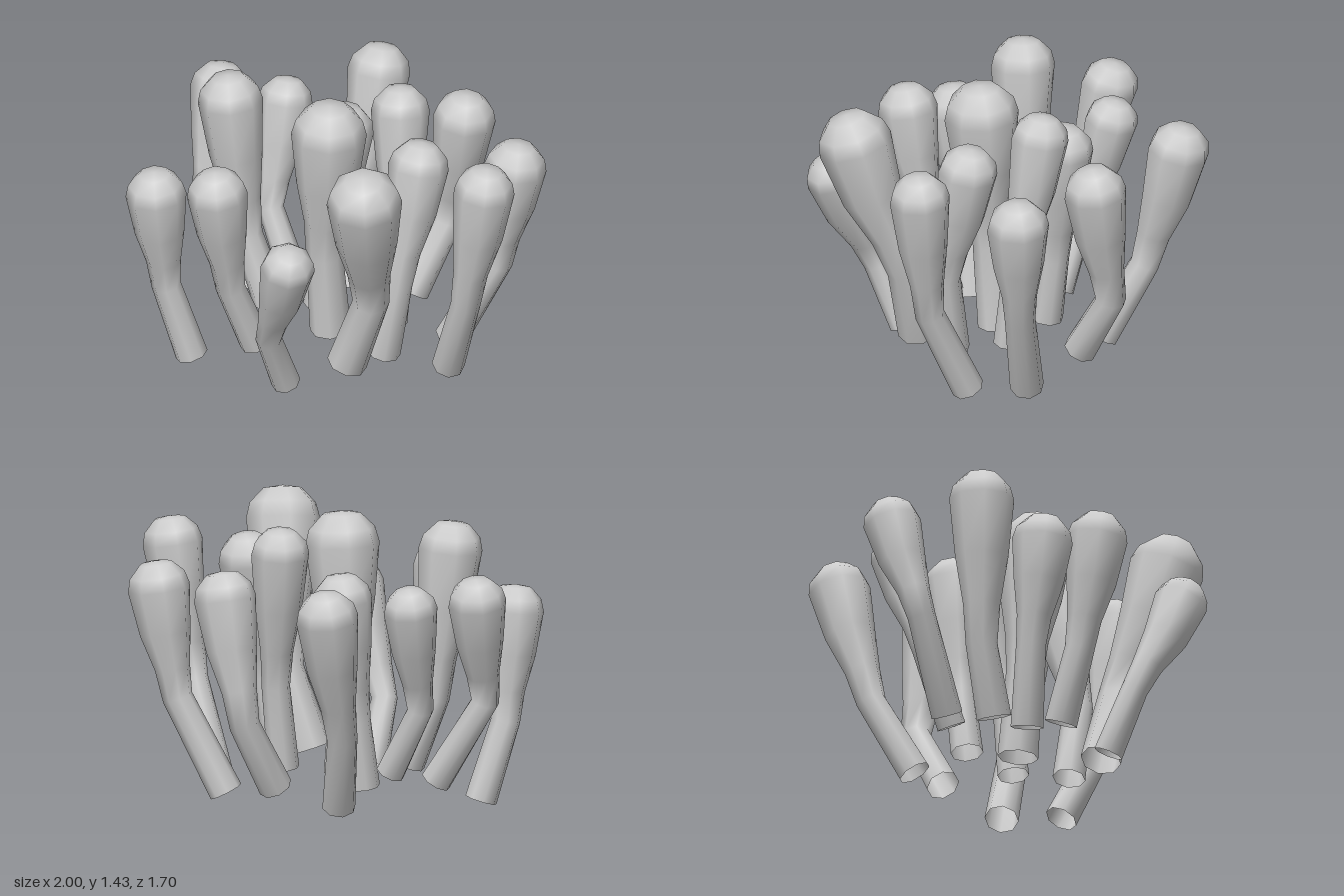
import * as THREE from 'three';

const SIDES = 8;
const material = new THREE.MeshStandardMaterial({ color: 0xcccccc, side: THREE.DoubleSide });

// Each stalk: open base centre, bend centre, widest point of the head, head radius
const stalks = [
  [[-0.29, 0.13, -0.37], [-0.42, 0.50, -0.53], [-0.45, 1.12, -0.70], 0.15],
  [[0.02, 0.20, -0.45], [0.06, 0.53, -0.65], [0.18, 1.13, -0.64], 0.15],
  [[0.36, 0.12, -0.37], [0.57, 0.57, -0.47], [0.65, 1.10, -0.51], 0.15],
  [[-0.38, 0.25, -0.07], [-0.56, 0.58, -0.08], [-0.60, 1.09, -0.22], 0.13],
  [[-0.24, 0.17, -0.09], [-0.23, 0.50, -0.14], [-0.20, 1.09, -0.21], 0.145],
  [[0.18, 0.22, -0.15], [0.19, 0.62, -0.20], [0.11, 1.29, -0.28], 0.14],
  [[0.55, 0.13, -0.16], [0.75, 0.57, -0.075], [0.86, 1.22, -0.09], 0.145],
  [[0.34, 0.20, 0.06], [0.42, 0.60, 0.05], [0.43, 1.19, -0.08], 0.145],
  [[-0.56, 0.21, 0.05], [-0.81, 0.62, 0.10], [-0.86, 1.13, -0.04], 0.14],
  [[-0.03, 0.18, 0.05], [-0.03, 0.60, 0.09], [0.02, 1.28, 0.11], 0.18],
  [[-0.33, 0.25, 0.15], [-0.46, 0.58, 0.18], [-0.52, 1.30, 0.23], 0.155],
  [[0.31, 0.22, 0.28], [0.45, 0.60, 0.26], [0.595, 1.27, 0.45], 0.18],
  [[-0.51, 0.03, 0.50], [-0.59, 0.41, 0.59], [-0.59, 0.93, 0.66], 0.145],
  [[-0.16, 0.20, 0.42], [-0.19, 0.54, 0.56], [-0.18, 1.09, 0.66], 0.145],
  [[0.11, 0.12, 0.49], [0.135, 0.42, 0.63], [0.36, 0.93, 0.73], 0.13],
];

// Lofts rings square to a path, open at the base and closed to a point at the tip
function loft(rings, tip) {
  const positions = [], indices = [];
  const side = new THREE.Vector3(1, 0, 0);
  for (const { centre, tangent, radius } of rings) {
    const u = side.clone().addScaledVector(tangent, -side.dot(tangent)).normalize();
    const v = new THREE.Vector3().crossVectors(tangent, u);
    for (let i = 0; i < SIDES; i++) {
      const a = (i / SIDES) * Math.PI * 2;
      const p = centre.clone()
        .addScaledVector(u, Math.cos(a) * radius)
        .addScaledVector(v, Math.sin(a) * radius);
      positions.push(p.x, p.y, p.z);
    }
  }
  positions.push(tip.x, tip.y, tip.z);
  for (let r = 0; r < rings.length; r++) {
    for (let i = 0; i < SIDES; i++) {
      const a = r * SIDES + i;
      const b = r * SIDES + ((i + 1) % SIDES);
      if (r < rings.length - 1) indices.push(a, b, b + SIDES, a, b + SIDES, a + SIDES);
      else indices.push(a, b, rings.length * SIDES);
    }
  }
  const geometry = new THREE.BufferGeometry();
  geometry.setAttribute('position', new THREE.Float32BufferAttribute(positions, 3));
  geometry.setIndex(indices);
  geometry.computeVertexNormals();
  return geometry;
}

// A bent stem with a narrow neck that swells into a blunt, more upright head
function stalkGeometry([base, bend, head, radius]) {
  const [a, b, c] = [base, bend, head].map((p) => new THREE.Vector3(...p));
  const neck = b.clone().lerp(c, 0.27);
  const swell = b.clone().lerp(c, 0.66).setY(THREE.MathUtils.lerp(b.y, c.y, 0.6));
  const lower = b.clone().sub(a).normalize();
  const upper = c.clone().sub(b).normalize();
  const top = c.clone().sub(swell).normalize();
  const middle = lower.clone().add(upper).normalize();
  const beyond = (k) => c.clone().addScaledVector(top, radius * k);
  return loft([
    { centre: a, tangent: lower, radius: radius * 0.54 },
    { centre: b, tangent: middle, radius: radius * 0.49 },
    { centre: neck, tangent: upper, radius: radius * 0.57 },
    { centre: swell, tangent: upper, radius: radius * 0.82 },
    { centre: c, tangent: top, radius },
    { centre: beyond(0.42), tangent: top, radius: radius * 0.89 },
    { centre: beyond(0.8), tangent: top, radius: radius * 0.52 },
  ], beyond(0.88));
}

export function createModel() {
  const group = new THREE.Group();
  group.name = 'stalkCluster';
  stalks.forEach((stalk, i) => {
    const mesh = new THREE.Mesh(stalkGeometry(stalk), material);
    mesh.name = `stalk${i + 1}`;
    group.add(mesh);
  });
  return group;
}
